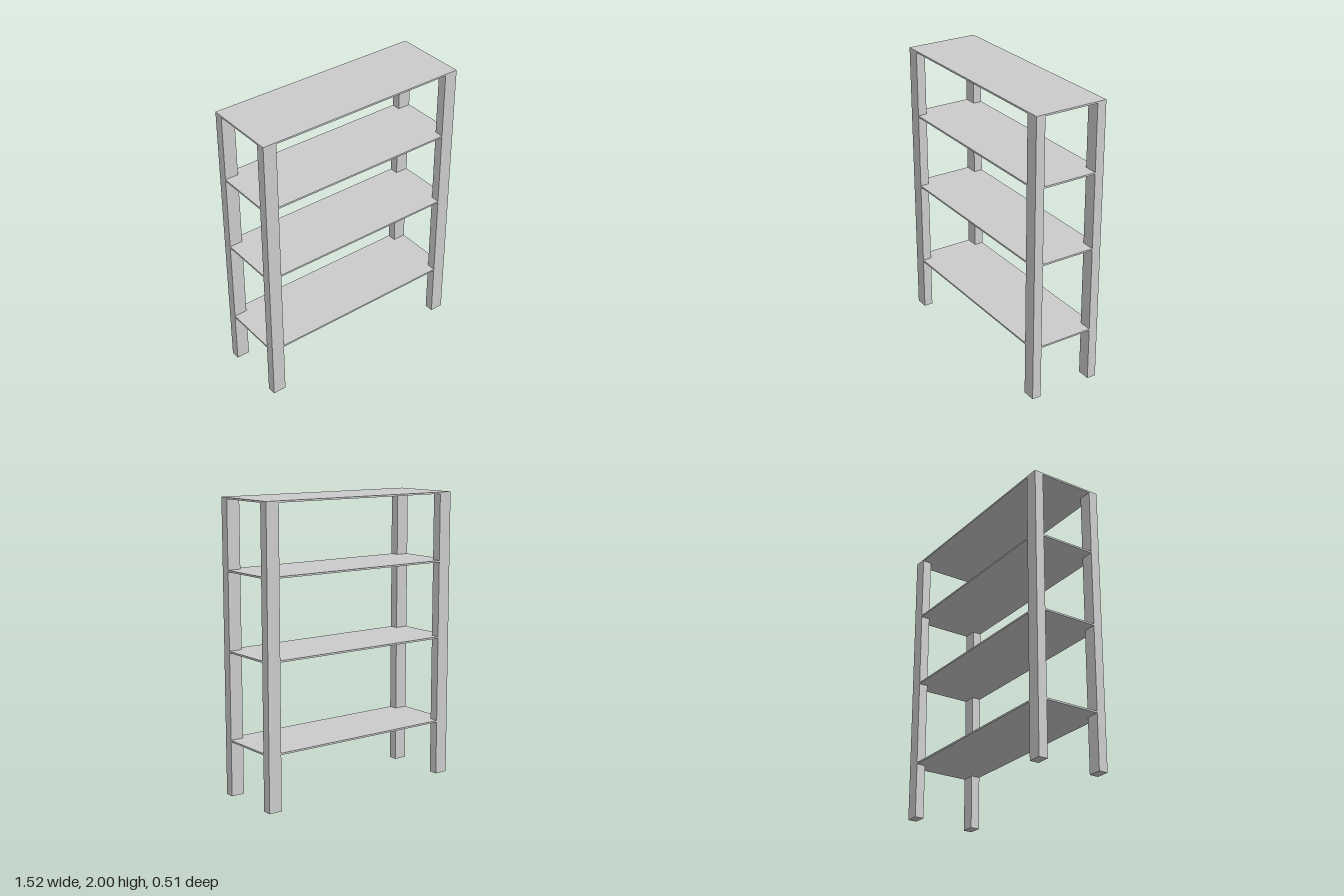
import * as THREE from 'three';

const HEIGHT = 2;
const HALF_W = 0.762, HALF_D = 0.257;   // outer half width and depth
const POST_W = 0.094, POST_D = 0.064;   // post section
const BOARD = 0.012;                    // shelf thickness

export function createModel() {
  const group = new THREE.Group();
  const material = new THREE.MeshStandardMaterial({ color: 0xcccccc, flatShading: true });

  // Four corner posts
  const postGeometry = new THREE.BoxGeometry(POST_W, HEIGHT, POST_D);
  for (const [zName, sz] of [['front', 1], ['back', -1]]) {
    for (const [xName, sx] of [['Left', 1], ['Right', -1]]) {
      const post = new THREE.Mesh(postGeometry, material);
      post.name = `${zName}${xName}Post`;
      post.position.set(sx * (HALF_W - POST_W / 2), HEIGHT / 2, sz * (HALF_D - POST_D / 2));
      group.add(post);
    }
  }

  // Board outline, flush with the posts' outer faces and notched around them
  const ix = HALF_W - POST_W, iz = HALF_D - POST_D;
  const outline = new THREE.Shape([
    [ix, -HALF_D], [ix, -iz], [HALF_W, -iz], [HALF_W, iz], [ix, iz], [ix, HALF_D],
    [-ix, HALF_D], [-ix, iz], [-HALF_W, iz], [-HALF_W, -iz], [-ix, -iz], [-ix, -HALF_D],
  ].map(([x, z]) => new THREE.Vector2(x, z)));
  const boardGeometry = new THREE.ExtrudeGeometry(outline, { depth: BOARD, bevelEnabled: false });
  boardGeometry.rotateX(-Math.PI / 2);

  // Shelves, given by the height of their upper face
  const shelves = { lowerShelf: 0.39, middleShelf: 0.995, upperShelf: 1.53, topBoard: HEIGHT };
  for (const [name, top] of Object.entries(shelves)) {
    const shelf = new THREE.Mesh(boardGeometry, material);
    shelf.name = name;
    shelf.position.y = top - BOARD;
    group.add(shelf);
  }

  return group;
}
